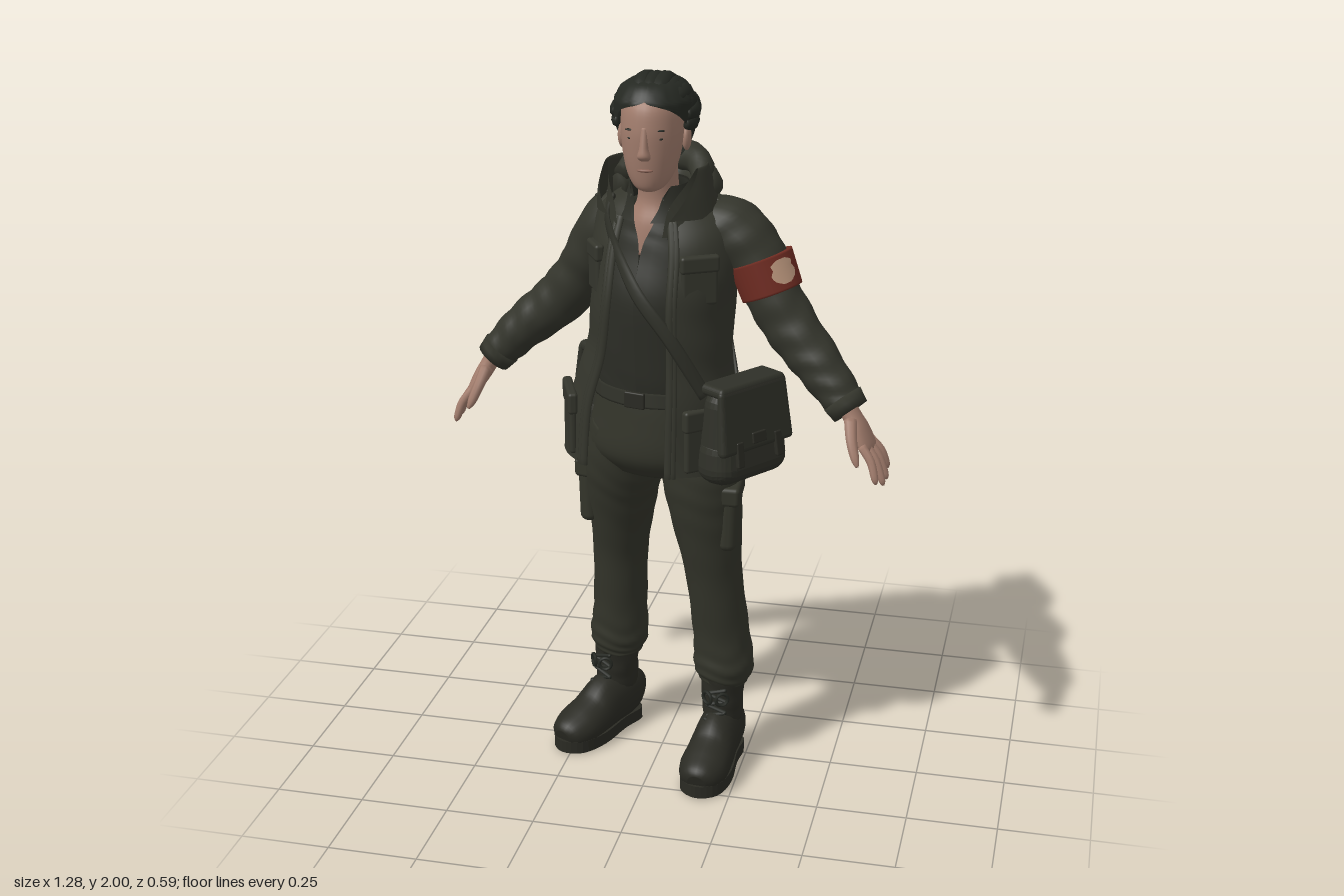
import * as THREE from 'three';
import { RoundedBoxGeometry } from 'three/addons/geometries/RoundedBoxGeometry.js';

const V = (x, y, z) => new THREE.Vector3(x, y, z);
const mat = (name, color, side = THREE.FrontSide) => {
  const m = new THREE.MeshStandardMaterial({ color, side });
  m.name = name;
  return m;
};
const YAW = -0.22, TAU = Math.PI * 2;
const Z = V(0, 0, 1), Y = V(0, 1, 0), FWD = V(Math.sin(YAW), 0, Math.cos(YAW));

// Catmull-Rom smoothing of rows of numbers
function smoothRows(rows, n) {
  const out = [], at = i => rows[Math.min(Math.max(i, 0), rows.length - 1)];
  for (let i = 0; i < rows.length - 1; i++) for (let k = 0; k < n; k++) {
    const t = k / n, [a, b, c, d] = [at(i - 1), at(i), at(i + 1), at(i + 2)];
    out.push(b.map((_, q) => b[q] + 0.5 * t * (c[q] - a[q] + t * (2 * a[q] - 5 * b[q] + 4 * c[q] - d[q]
      + t * (3 * (b[q] - c[q]) + d[q] - a[q])))));
  }
  out.push(rows[rows.length - 1].slice());
  return out;
}

// Loft of elliptical sections; a row is [x, y, z, halfWidth, halfDepth, startAngle, endAngle]
function loft(rows, { ref = Z, sides = 20, steps = 6, flat = false, arc = false, fold = () => 1 } = {}) {
  const R = smoothRows(rows, steps), pos = [], idx = [], cols = arc ? sides + 1 : sides;
  const c = R.map(r => V(r[0], r[1], r[2]));
  R.forEach((r, i) => {
    const t = flat ? Y : c[Math.min(i + 1, c.length - 1)].clone().sub(c[Math.max(i - 1, 0)]).normalize();
    const f = typeof ref === 'function' ? ref(c[i]) : ref;
    const u = t.clone().cross(f).normalize(), w = u.clone().cross(t);
    for (let j = 0; j < cols; j++) {
      const p = arc ? r[5] + (r[6] - r[5]) * j / sides : TAU * j / sides, k = fold(p, i / (R.length - 1));
      pos.push(...c[i].clone().addScaledVector(u, r[3] * k * Math.sin(p)).addScaledVector(w, r[4] * k * Math.cos(p)));
    }
  });
  for (let i = 0; i < R.length - 1; i++) for (let j = 0; j < sides; j++) {
    const a = i * cols + j, b = i * cols + (j + 1) % cols;
    idx.push(a, b, a + cols, b, b + cols, a + cols);
  }
  if (!arc) {
    const n = pos.length / 3, last = (R.length - 1) * cols;
    pos.push(...c[0], ...c[c.length - 1]);
    for (let j = 0; j < cols; j++) {
      const k = (j + 1) % cols;
      idx.push(n, k, j, n + 1, last + j, last + k);
    }
  }
  const g = new THREE.BufferGeometry();
  g.setAttribute('position', new THREE.Float32BufferAttribute(pos, 3));
  g.setIndex(idx);
  g.computeVertexNormals();
  return g;
}
const creases = (amp, freq) => (p, s) => 1 + amp * Math.sin(freq * s + 1.6 * Math.sin(2 * p) + Math.sin(3 * p + 9 * s));

// Jacket body sections, bottom to top
const JACKET = [
  [-0.03, 0.93, 0.03, 0.25, 0.182, 0.55, TAU - 0.5], [-0.02, 1.1, 0.03, 0.235, 0.18, 0.55, TAU - 0.52],
  [0, 1.25, 0.03, 0.205, 0.172, 0.52, TAU - 0.5], [0.01, 1.4, 0.025, 0.2, 0.178, 0.48, TAU - 0.45],
  [0.015, 1.53, 0.01, 0.21, 0.16, 0.42, TAU - 0.42], [0.01, 1.62, 0, 0.185, 0.13, 0.4, TAU - 0.4],
  [0, 1.675, 0, 0.11, 0.1, 0.4, TAU - 0.4]];
// Point and facing angle on the jacket at height y and angle p
function onJacket(y, p, off = 0) {
  let i = 0;
  while (i < JACKET.length - 2 && JACKET[i + 1][1] < y) i++;
  const A = JACKET[i], B = JACKET[i + 1], t = (y - A[1]) / (B[1] - A[1]);
  const [x, , z, a, b] = A.map((v, q) => v + (B[q] - v) * t);
  const point = V((a + off) * Math.sin(p), 0, (b + off) * Math.cos(p)).applyAxisAngle(Y, YAW).add(V(x, y, z));
  return { point, angle: YAW + Math.atan2(Math.sin(p) / a, Math.cos(p) / b) };
}

export function createModel() {
  const M = {
    coat: mat('olive coat', 0x34352c, THREE.DoubleSide), trousers: mat('olive trousers', 0x33342a),
    shirt: mat('dark shirt', 0x2c2d26, THREE.DoubleSide), bag: mat('canvas bag', 0x2f3028),
    boot: mat('boot leather', 0x2a2a23), hair: mat('dark hair', 0x252822, THREE.DoubleSide),
    skin: mat('skin', 0xa27d6d), lips: mat('lips', 0x8c6456),
    red: mat('red band', 0x702c22), patch: mat('pale patch', 0xbd987e, THREE.DoubleSide) };
  const root = new THREE.Group();
  root.name = 'figure';
  const add = (name, geo, m, parent = root) => {
    const mesh = new THREE.Mesh(geo, m);
    mesh.name = name;
    parent.add(mesh);
    return mesh;
  };
  const group = (name, x, y, z, ry = 0, rz = 0) => {
    const g = new THREE.Group();
    g.name = name; g.position.set(x, y, z); g.rotation.set(0, ry, rz, 'XZY');
    root.add(g);
    return g;
  };
  const box = (name, s, p, m, parent, r = 0.008, ry = 0) => {
    const b = add(name, new RoundedBoxGeometry(...s, 3, r), m, parent);
    b.position.set(...p); b.rotation.y = ry;
    return b;
  };

  // Trousers
  add('trouserHips', loft([[0, 0.9, 0.03, 0.15, 0.11], [0, 0.96, 0.025, 0.205, 0.155],
    [0.005, 1.07, 0.025, 0.195, 0.155], [0, 1.17, 0.03, 0.17, 0.14]], { ref: FWD, flat: true, sides: 28 }), M.trousers);
  const legs = {
    left: [[0.188, 0.25, 0.028, 0.066, 0.07], [0.188, 0.3, 0.028, 0.086, 0.083], [0.18, 0.4, 0.03, 0.081, 0.08],
      [0.16, 0.6, 0.05, 0.08, 0.086], [0.14, 0.78, 0.06, 0.1, 0.108], [0.125, 0.9, 0.06, 0.11, 0.12], [0.1, 1.03, 0.04, 0.1, 0.12]],
    right: [[-0.153, 0.25, -0.1, 0.066, 0.07], [-0.153, 0.3, -0.1, 0.085, 0.083], [-0.148, 0.4, -0.095, 0.079, 0.083],
      [-0.14, 0.6, -0.075, 0.08, 0.088], [-0.125, 0.78, -0.04, 0.1, 0.108], [-0.11, 0.9, -0.01, 0.11, 0.12], [-0.09, 1.03, 0.02, 0.1, 0.12]] };
  for (const [side, rows] of Object.entries(legs))
    add(side + 'TrouserLeg', loft(rows, { sides: 26, steps: 9,
      fold: (p, s) => 1 + (0.008 + 0.05 * Math.max(0, 0.45 - s)) * Math.sin(62 * s + 2.4 * Math.sin(p + 7 * s) + 1.5 * Math.sin(3 * p)) }), M.trousers);
  for (const [x, z, ry, rz] of [[0.21, 0.07, 0.08, -0.03], [-0.2, -0.05, -0.3, 0.03]]) {
    const pocket = group('cargoPocket', x, 0.785, z, ry, rz);
    box('pocketBody', [0.05, 0.18, 0.15], [0, 0, 0], M.trousers, pocket, 0.022);
    box('pocketFlap', [0.06, 0.055, 0.158], [0, 0.075, 0], M.trousers, pocket, 0.012);
  }
  add('belt', loft([[0, 1.115, 0.03, 0.187, 0.154], [0, 1.155, 0.03, 0.182, 0.15]], { ref: FWD, flat: true, sides: 28 }), M.bag);
  box('beltBuckle', [0.06, 0.045, 0.012], [-0.034, 1.135, 0.18], M.boot, root, 0.004, YAW);

  // Shirt with an open neck and a soft collar
  add('shirt', loft([[0, 1.12, 0.03, 0.17, 0.14, 0, TAU], [0, 1.2, 0.03, 0.18, 0.15, 0, TAU], [0, 1.4, 0.03, 0.18, 0.16, 0, TAU],
    [0.005, 1.54, 0.02, 0.165, 0.135, 0.02, TAU - 0.02], [0.005, 1.6, 0.02, 0.13, 0.117, 0.18, TAU - 0.18],
    [0, 1.66, 0.025, 0.08, 0.088, 0.5, TAU - 0.5], [0, 1.7, 0.03, 0.076, 0.08, 0.8, TAU - 0.8]],
  { ref: FWD, flat: true, arc: true, sides: 32, fold: creases(0.006, 40) }), M.shirt);
  add('shirtCollar', loft([[0, 1.615, 0.025, 0.12, 0.117, 0.22, TAU - 0.22], [0, 1.66, 0.028, 0.092, 0.096, 0.5, TAU - 0.5],
    [0, 1.705, 0.03, 0.078, 0.082, 0.85, TAU - 0.85]], { ref: FWD, flat: true, arc: true, sides: 28 }), M.shirt);

  // Coat body, front edges, collar and hood
  add('coatBody', loft(JACKET, { ref: FWD, flat: true, arc: true, sides: 44, steps: 8, fold: creases(0.008, 34) }), M.coat);
  for (const q of [5, 6]) for (const off of [0.004, -0.045]) {
    const edge = JACKET.slice(0, 6).map(r => [...onJacket(r[1], r[q] + (q === 5 ? -1 : 1) * off, 0.003).point, 0.011, 0.006]);
    add('frontEdge', loft(edge, { ref: FWD, sides: 8 }), M.coat);
  }
  add('collar', loft([[0, 1.58, 0.01, 0.165, 0.14, 0.4, TAU - 0.4], [-0.005, 1.66, 0.02, 0.14, 0.125, 0.62, TAU - 0.62],
    [-0.01, 1.735, 0.02, 0.132, 0.118, 1.2, TAU - 1.2], [-0.01, 1.75, 0.02, 0.14, 0.125, 1.3, TAU - 1.3],
    [-0.01, 1.69, 0.02, 0.158, 0.142, 0.95, TAU - 0.95], [-0.005, 1.625, 0.01, 0.172, 0.148, 0.55, TAU - 0.55]],
  { ref: FWD, flat: true, arc: true, sides: 32 }), M.coat);
  [[1.725, 0.115, 0.105, 0.042, 0.025], [1.69, 0.125, 0.128, 0.055, 0], [1.645, 0.11, 0.125, 0.055, -0.05]].forEach(([y, rx, rz, r, drop]) => {
    const rows = [-1, -0.6, -0.25, 0, 0.25, 0.6, 1].map(k => {
      const p = V(rx * Math.sin(k * 1.6), 0, -rz * Math.cos(k * 1.6) + 0.015).applyAxisAngle(Y, YAW);
      return [p.x, y + drop * (1 - k * k) - 0.02 * k * k, p.z, r * (1 - 0.5 * k * k), r * (1 - 0.4 * k * k)];
    });
    add('hoodFold', loft(rows, { ref: Y, sides: 14, fold: creases(0.06, 24) }), M.coat);
  });

  // Coat pockets and shoulder tabs
  for (const [y, p, w, h] of [[1.47, 0.85, 0.1, 0.13], [1.47, -0.92, 0.085, 0.13], [1.03, -1.1, 0.15, 0.17], [1.03, 1.1, 0.15, 0.17]]) {
    const { point, angle } = onJacket(y, p, -0.005);
    const pocket = group('coatPocket', ...point, angle);
    box('pocketBody', [w, h, 0.02], [0, 0, 0], M.coat, pocket, 0.009);
    box('pocketFlap', [w + 0.008, h * 0.36, 0.027], [0, h * 0.36, 0], M.coat, pocket, 0.009);
  }
  for (const [x, z, s] of [[0.17, 0.01, -1], [-0.145, -0.06, 1]])
    box('shoulderTab', [0.11, 0.014, 0.045], [x, 1.65, z], M.coat, root, 0.005, YAW).rotation.z = s * 0.4;

  // Sleeves, cuffs and arm band
  const sleeves = {
    left: [[0.11, 1.6, -0.015, 0.06, 0.1], [0.19, 1.575, 0.003, 0.085, 0.1], [0.26, 1.51, 0.018, 0.08, 0.089], [0.305, 1.42, 0.03, 0.076, 0.077],
      [0.365, 1.33, 0.05, 0.074, 0.07], [0.445, 1.24, 0.08, 0.065, 0.064], [0.515, 1.16, 0.11, 0.054, 0.054], [0.54, 1.13, 0.12, 0.046, 0.046]],
    right: [[-0.08, 1.6, -0.06, 0.06, 0.08], [-0.145, 1.565, -0.07, 0.085, 0.092], [-0.205, 1.48, -0.09, 0.08, 0.086], [-0.25, 1.4, -0.105, 0.076, 0.077],
      [-0.325, 1.31, -0.115, 0.074, 0.07], [-0.42, 1.23, -0.115, 0.065, 0.064], [-0.495, 1.155, -0.11, 0.054, 0.054], [-0.52, 1.125, -0.105, 0.046, 0.046]] };
  for (const [side, rows] of Object.entries(sleeves)) {
    add(side + 'Sleeve', loft(rows, { sides: 22, steps: 9,
      fold: (p, s) => 1 + (0.01 + 0.03 * s) * Math.sin(58 * s + 2 * Math.sin(p + 8 * s) + 1.2 * Math.sin(3 * p)) }), M.coat);
    const [e, d] = rows.slice(-2);
    add(side + 'Cuff', loft([[...e.slice(0, 3), 0.057, 0.057], [...d.slice(0, 3), 0.051, 0.051]], { steps: 2 }), M.coat);
  }
  const band = (k, r) => [0.272 + 0.036 * k, 1.507 - 0.09 * k, 0.02 + 0.01 * k, 0.088 - 0.004 * k + r, 0.093 - 0.006 * k + r];
  add('armBand', loft([band(0, 0), band(0.5, 0), band(1, 0)], { sides: 28 }), M.red);
  add('bandPatch', loft([[0.14, 0.14], [0.25, 0.38], [0.38, 0.34], [0.52, 0.44], [0.7, 0.35], [0.82, 0.12]].map(([k, w]) =>
    [...band(k, 0.004), -0.83 - w, -0.83 + w]), { arc: true, sides: 10, steps: 2 }), M.patch);

  // Hands, turned a little so their backs face forward
  for (const [name, x, y, z, ry, rz, tilt] of [['leftHand', 0.537, 1.13, 0.12, -0.22, 0.54, -0.14], ['rightHand', -0.525, 1.12, -0.103, 0.1, -0.54, -0.05]]) {
    const s = Math.sign(x), h = group(name, x, y, z, ry, rz);
    h.rotation.x = tilt;
    h.scale.setScalar(1.1);
    add('palm', loft([[0, 0.04, 0, 0.024, 0.028], [0, -0.01, 0, 0.022, 0.03], [0, -0.05, 0, 0.021, 0.043], [0, -0.095, 0, 0.015, 0.046],
      [0, -0.108, 0, 0.007, 0.035]], { sides: 14 }), M.skin, h);
    [0.08, 0.095, 0.09, 0.072].forEach((len, i) => {
      const k = 1.5 - i, b = 0.023 * k, e = 0.034 * k;
      add('finger', loft([[0, -0.085, b, 0.011, 0.012], [0.006 * s, -0.095 - len * 0.4, (b + e) / 2, 0.011, 0.011],
        [-0.002 * s, -0.095 - len * 0.9, e, 0.009, 0.009], [-0.006 * s, -0.1 - len, e, 0.003, 0.003]], { sides: 8, steps: 4 }), M.skin, h);
    });
    add('thumb', loft([[0, -0.02, 0.02, 0.017, 0.018], [-0.008 * s, -0.06, 0.052, 0.014, 0.015], [-0.014 * s, -0.1, 0.07, 0.011, 0.011],
      [-0.016 * s, -0.12, 0.077, 0.004, 0.004]], { sides: 8, steps: 4 }), M.skin, h);
  }

  // Boots
  const soleShape = new THREE.Shape();
  soleShape.setFromPoints(new THREE.SplineCurve([[0, -0.083], [0.05, -0.06], [0.054, 0.02], [0.07, 0.13], [0.055, 0.215], [0, 0.248],
    [-0.055, 0.215], [-0.07, 0.13], [-0.054, 0.02], [-0.05, -0.06], [0, -0.083]].map(p => new THREE.Vector2(...p))).getPoints(40));
  for (const [name, x, z, ry] of [['leftBoot', 0.186, 0.04, -0.1], ['rightBoot', -0.165, -0.1, -0.46]]) {
    const b = group(name, x, 0, z, ry);
    const sole = add('sole', new THREE.ExtrudeGeometry(soleShape, { depth: 0.036, bevelEnabled: false }).rotateX(Math.PI / 2), M.boot, b);
    sole.position.y = 0.036;
    add('upper', loft([[0, 0.07, -0.083, 0.03, 0.045], [0, 0.08, -0.068, 0.052, 0.068], [0, 0.09, -0.02, 0.06, 0.088], [0, 0.085, 0.05, 0.063, 0.088],
      [0, 0.066, 0.11, 0.068, 0.07], [0, 0.053, 0.175, 0.07, 0.058], [0, 0.045, 0.222, 0.053, 0.046], [0, 0.04, 0.24, 0.026, 0.028]], { ref: Y }), M.boot, b);
    add('shaft', loft([[0, 0.08, -0.012, 0.052, 0.066], [0, 0.15, -0.008, 0.056, 0.068], [0, 0.22, -0.005, 0.06, 0.066], [0, 0.29, -0.003, 0.064, 0.068]],
      { fold: creases(0.02, 22) }), M.boot, b);
    for (let i = 0; i < 6; i++) {
      const lace = add('lace', new THREE.CapsuleGeometry(0.006, 0.055, 3, 6), M.hair, b);
      lace.position.set(0, 0.15 + 0.018 * i, i < 2 ? 0.078 - 0.018 * i : 0.06);
      lace.rotation.z = Math.PI / 2 + (i % 2 ? 0.3 : -0.3);
    }
    for (const s of [-1, 1]) {
      const bow = add('laceBow', new THREE.TorusGeometry(0.018, 0.005, 6, 14), M.hair, b);
      bow.position.set(s * 0.022, 0.225, 0.074); bow.rotation.y = s * 0.6;
    }
  }

  // Shoulder bags: full at the bottom, slimmer towards the top
  for (const [name, x, z, ry] of [['leftBag', 0.244, 0.1, 0.96], ['rightBag', -0.152, -0.163, -2.39]]) {
    const b = group(name, x, 1.05, z, ry);
    const part = (label, s, p, m, r) => {
      const mesh = box(label, s, p, m, b, r), q = mesh.geometry.attributes.position;
      for (let i = 0; i < q.count; i++) {
        const y = q.getY(i) + p[1], kx = 1 - 0.55 * y, kz = 1 - 2.2 * y;
        q.setXYZ(i, (q.getX(i) + p[0]) * kx - p[0], q.getY(i), (q.getZ(i) + p[2]) * kz - p[2]);
      }
      mesh.geometry.computeVertexNormals();
    };
    part('bagBody', [0.255, 0.275, 0.112], [0, 0, 0], M.bag, 0.052);
    part('bagBottom', [0.262, 0.15, 0.112], [0, -0.062, 0], M.bag, 0.054);
    part('bagFlap', [0.262, 0.18, 0.03], [0, 0.05, 0.05], M.bag, 0.014);
    part('flapTop', [0.258, 0.03, 0.128], [0, 0.13, 0], M.bag, 0.014);
    for (const s of [-1, 1]) part('closure', [0.024, 0.07, 0.012], [s * 0.07, -0.04, 0.062], M.boot, 0.004);
    part('flapPlate', [0.05, 0.03, 0.008], [0, -0.005, 0.066], M.boot, 0.003);
  }
  // Crossing straps that follow the coat
  const straps = {
    frontStrap: [[1.66, -0.9], [1.6, -0.6], [1.45, -0.02], [1.32, 0.5], [1.16, 1.0]],
    backStrap: [[1.66, 4.2], [1.58, 3.75], [1.45, 3.2], [1.32, 2.6], [1.15, 1.9]],
    crossStrap: [[1.66, 2.1], [1.58, 2.55], [1.45, 3.1], [1.32, 3.6], [1.14, 4.1]] };
  for (const [name, path] of Object.entries(straps))
    add(name, loft(path.map(([y, p]) => [...onJacket(y, p, 0.01).point, 0.019, 0.006]),
      { ref: p => V(p.x, 0, p.z - 0.02), sides: 8, steps: 8 }), M.bag);

  // Neck, head and face
  add('neck', loft([[0, 1.52, 0.03, 0.11, 0.09], [0, 1.6, 0.03, 0.085, 0.085], [0, 1.67, 0.035, 0.056, 0.06], [-0.003, 1.79, 0.06, 0.056, 0.06]],
    { flat: true }), M.skin);
  add('head', loft([[-0.005, 1.7, 0.128, 0.02, 0.02], [-0.005, 1.713, 0.118, 0.042, 0.046], [-0.005, 1.75, 0.103, 0.064, 0.072],
    [-0.005, 1.81, 0.09, 0.078, 0.094], [-0.005, 1.87, 0.082, 0.083, 0.104], [-0.005, 1.93, 0.07, 0.077, 0.1], [-0.005, 1.965, 0.06, 0.04, 0.05]],
  { flat: true, sides: 28 }), M.skin);
  add('nose', loft([[-0.005, 1.788, 0.176, 0.012, 0.008], [-0.005, 1.8, 0.184, 0.018, 0.018], [-0.005, 1.825, 0.184, 0.012, 0.015],
    [-0.005, 1.875, 0.178, 0.009, 0.008]], { flat: true, sides: 12 }), M.skin);
  const blob = (name, m, x, y, z, sx, sy, sz) => {
    const s = add(name, new THREE.SphereGeometry(1, 16, 12), m);
    s.position.set(x - 0.005, y, z); s.scale.set(sx, sy, sz);
  };
  for (const s of [-1, 1]) {
    blob('eye', M.hair, s * 0.035, 1.845, 0.169, 0.012, 0.004, 0.006);
    blob('eyebrow', M.hair, s * 0.036, 1.867, 0.171, 0.017, 0.003, 0.006);
    blob('ear', M.skin, s * 0.086, 1.83, 0.065, 0.012, 0.034, 0.022);
  }
  blob('mouth', M.lips, 0, 1.762, 0.174, 0.022, 0.005, 0.008);

  // Hair swept back into a bun
  add('hairCap', loft([[-0.005, 1.77, 0.03, 0.06, 0.07, 1.7, TAU - 1.7], [-0.005, 1.82, 0.045, 0.092, 0.1, 1.6, TAU - 1.6],
    [-0.005, 1.87, 0.055, 0.106, 0.12, 1.15, TAU - 1.15], [-0.005, 1.915, 0.06, 0.106, 0.122, 0.65, TAU - 0.65], [-0.005, 1.94, 0.06, 0.1, 0.118, 0, TAU],
    [-0.005, 1.975, 0.055, 0.07, 0.088, 0, TAU], [-0.005, 1.99, 0.05, 0.012, 0.015, 0, TAU]],
  { flat: true, arc: true, sides: 40, fold: p => 1 + 0.02 * Math.sin(16 * p) }), M.hair);
  for (let i = 0; i < 13; i++) {
    const al = (i - 6) * 0.28, start = 0.55 + 0.1 * Math.abs(i - 6) + 0.06 * (i % 3), rows = [];
    for (let k = 0; k < 6; k++) {
      const s = start + (2.85 - start) * k / 5, r = 0.103 + 0.004 * (i % 2);
      rows.push([-0.005 + Math.sin(al) * r * Math.sin(s), 1.882 + Math.cos(al) * r * Math.sin(s), 0.058 + 0.122 * Math.cos(s),
        k ? 0.021 : 0.012, k ? 0.013 : 0.008]);
    }
    add('hairStrand', loft(rows, { ref: p => V(p.x + 0.005, p.y - 1.88, p.z - 0.05), sides: 8, steps: 4 }), M.hair);
  }
  blob('bunCore', M.hair, 0.005, 1.882, -0.092, 0.06, 0.055, 0.048);
  const bun = add('bunTwist', new THREE.TorusKnotGeometry(0.036, 0.017, 72, 8, 2, 3), M.hair);
  bun.position.set(0, 1.884, -0.096); bun.scale.set(1.2, 1.1, 1.3);

  return root;
}
